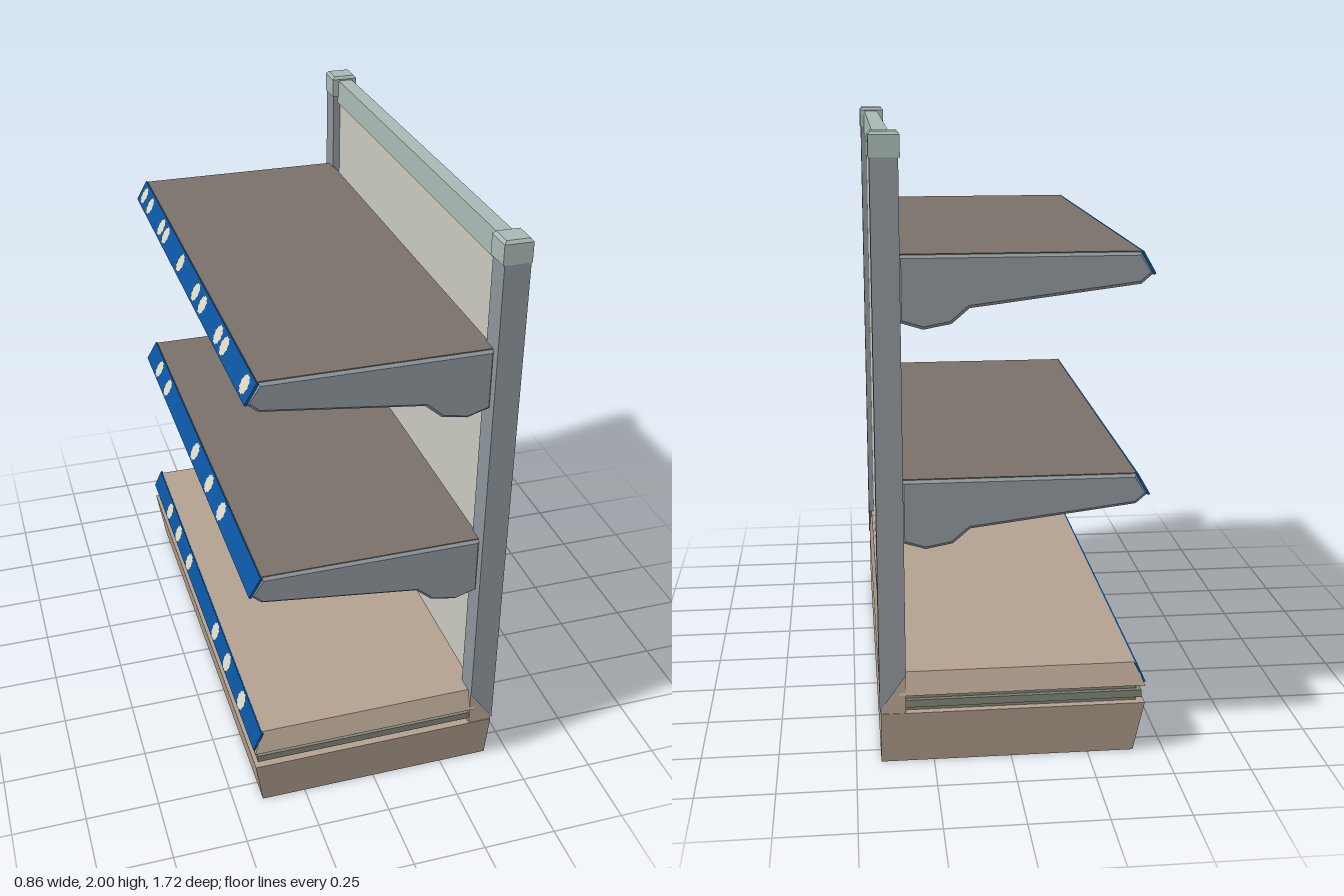
import * as THREE from 'three';

const mat = (name, color) => Object.assign(new THREE.MeshStandardMaterial({ color }), { name });
const M = {
  base: mat('tan base', 0xb3a18f),
  groove: mat('groove grey', 0x7f8274),
  shelf: mat('shelf brown', 0x7a7069),
  steel: mat('steel grey', 0x8d959b),
  cap: mat('pale green grey', 0xa9b9b4),
  panel: mat('panel off white', 0xcac9c0),
  blue: mat('strip blue', 0x0b529c),
  label: mat('label cream', 0xd9d5c3),
};

function add(parent, name, geometry, material) {
  const mesh = new THREE.Mesh(geometry, material);
  mesh.name = name;
  parent.add(mesh);
  return mesh;
}

// Block between two rectangles [x0, x1, z] (z is the half depth) at heights y0 and y1
function block(y0, a, y1, b) {
  const g = new THREE.BoxGeometry(1, 1, 1), p = g.attributes.position;
  for (let i = 0; i < p.count; i++) {
    const top = p.getY(i) > 0, r = top ? b : a;
    p.setXYZ(i, p.getX(i) > 0 ? r[1] : r[0], top ? y1 : y0, p.getZ(i) > 0 ? r[2] : -r[2]);
  }
  g.computeVertexNormals();
  return g;
}

// Closed side profile drawn in x, y and extruded along z, centred on z = 0
function extrude(points, depth, bevel = 0) {
  const g = new THREE.ExtrudeGeometry(new THREE.Shape(points.map(p => new THREE.Vector2(...p))), {
    depth: depth - 2 * bevel, bevelEnabled: bevel > 0, bevelSize: bevel,
    bevelThickness: bevel, bevelOffset: -bevel, bevelSegments: 1,
  });
  return g.translate(0, 0, bevel - depth / 2);
}

// Ragged round label
function labelShape() {
  const pts = [];
  for (let i = 0; i < 20; i++) {
    const r = i % 2 ? 0.029 : 0.035, a = i * Math.PI / 10;
    pts.push(new THREE.Vector2(r * Math.cos(a), r * Math.sin(a)));
  }
  return new THREE.ShapeGeometry(new THREE.Shape(pts)).rotateY(Math.PI / 2);
}

// Sloping price strip from its lower edge to its upper edge, with labels
function priceStrip(parent, [x0, y0], [x1, y1], halfLength, labels) {
  const strip = new THREE.Group();
  strip.name = 'priceStrip';
  strip.position.set((x0 + x1) / 2, (y0 + y1) / 2, 0);
  strip.rotation.z = Math.atan2(x1 - x0, y0 - y1);
  add(strip, 'stripFace', new THREE.BoxGeometry(0.008, Math.hypot(x1 - x0, y1 - y0), 2 * halfLength), M.blue);
  const shape = labelShape();
  for (const z of labels) add(strip, 'priceLabel', shape, M.label).position.set(0.006, 0, z);
  parent.add(strip);
}

// Shelf with two end brackets; y is the height of its top
function shelf(y, labels) {
  const g = new THREE.Group();
  g.name = 'shelf';
  g.position.y = y;
  add(g, 'shelfBoard', extrude([
    [-0.39, 0], [-0.425, -0.07], [-0.39, -0.095], [-0.38, -0.095],
    [-0.375, -0.03], [0.345, -0.03], [0.345, 0],
  ], 1.65), M.shelf);
  const profile = [
    [-0.39, -0.002], [-0.43, -0.065], [-0.39, -0.1], [0.13, -0.165],
    [0.185, -0.212], [0.27, -0.228], [0.345, -0.205], [0.345, -0.002],
  ];
  for (const s of [-1, 1]) {
    add(g, 'shelfBracket', extrude(profile, 0.032, 0.01), M.steel).position.z = s * 0.818;
  }
  priceStrip(g, [-0.43, -0.07], [-0.391, -0.002], 0.833, labels);
  return g;
}

export function createModel() {
  const model = new THREE.Group();
  model.name = 'shelvingUnit';

  // Base: tapered plinth, grooved rail, bevelled deck and rear block
  const base = new THREE.Group();
  base.name = 'base';
  add(base, 'plinth', block(0, [-0.4, 0.42, 0.83], 0.18, [-0.43, 0.42, 0.86]), M.base);
  add(base, 'grooveCore', block(0.17, [-0.405, 0.36, 0.835], 0.25, [-0.405, 0.36, 0.835]), M.groove);
  add(base, 'grooveRail', block(0.195, [-0.42, 0.35, 0.85], 0.22, [-0.42, 0.35, 0.85]), M.groove);
  add(base, 'deck', block(0.24, [-0.43, 0.36, 0.86], 0.31, [-0.4, 0.36, 0.832]), M.base);
  add(base, 'rearBlock', block(0.18, [0.34, 0.42, 0.858], 0.31, [0.34, 0.412, 0.855]), M.base);
  priceStrip(base, [-0.43, 0.245], [-0.401, 0.31], 0.845, [-0.58, -0.41, -0.21, 0.24, 0.42, 0.63]);
  model.add(base);

  // Back panel and top rail
  add(model, 'backPanel', block(0.305, [0.365, 0.402, 0.785], 1.91, [0.365, 0.402, 0.785]), M.panel);
  add(model, 'topRail', block(1.9, [0.355, 0.41, 0.785], 1.985, [0.357, 0.408, 0.785]), M.cap);

  // Posts, cut to a point at the outer bottom corner, with caps
  for (const s of [-1, 1]) {
    const g = new THREE.BoxGeometry(0.084, 1.63, 0.085).translate(0.381, 1.125, s * 0.8185);
    const p = g.attributes.position;
    for (let i = 0; i < p.count; i++) {
      if (p.getY(i) < 1 && p.getX(i) > 0.4 && p.getZ(i) * s > 0.82) p.setY(i, 0.19);
    }
    add(model, 'post', g, M.steel);

    const cap = new THREE.Group();
    cap.name = 'postCap';
    cap.position.set(0.38, 0, s * 0.816);
    add(cap, 'capBody', block(1.925, [-0.046, 0.046, 0.046], 1.99, [-0.046, 0.046, 0.046]), M.cap);
    add(cap, 'capTop', block(1.99, [-0.046, 0.046, 0.046], 2, [-0.038, 0.038, 0.038]), M.cap);
    model.add(cap);
  }

  // Two shelves
  model.add(shelf(1.64, [-0.77, -0.66, -0.45, -0.37, -0.12, 0.12, 0.22, 0.44, 0.52, 0.77]));
  model.add(shelf(0.945, [-0.66, -0.5, -0.01, 0.21, 0.39]));
  return model;
}
